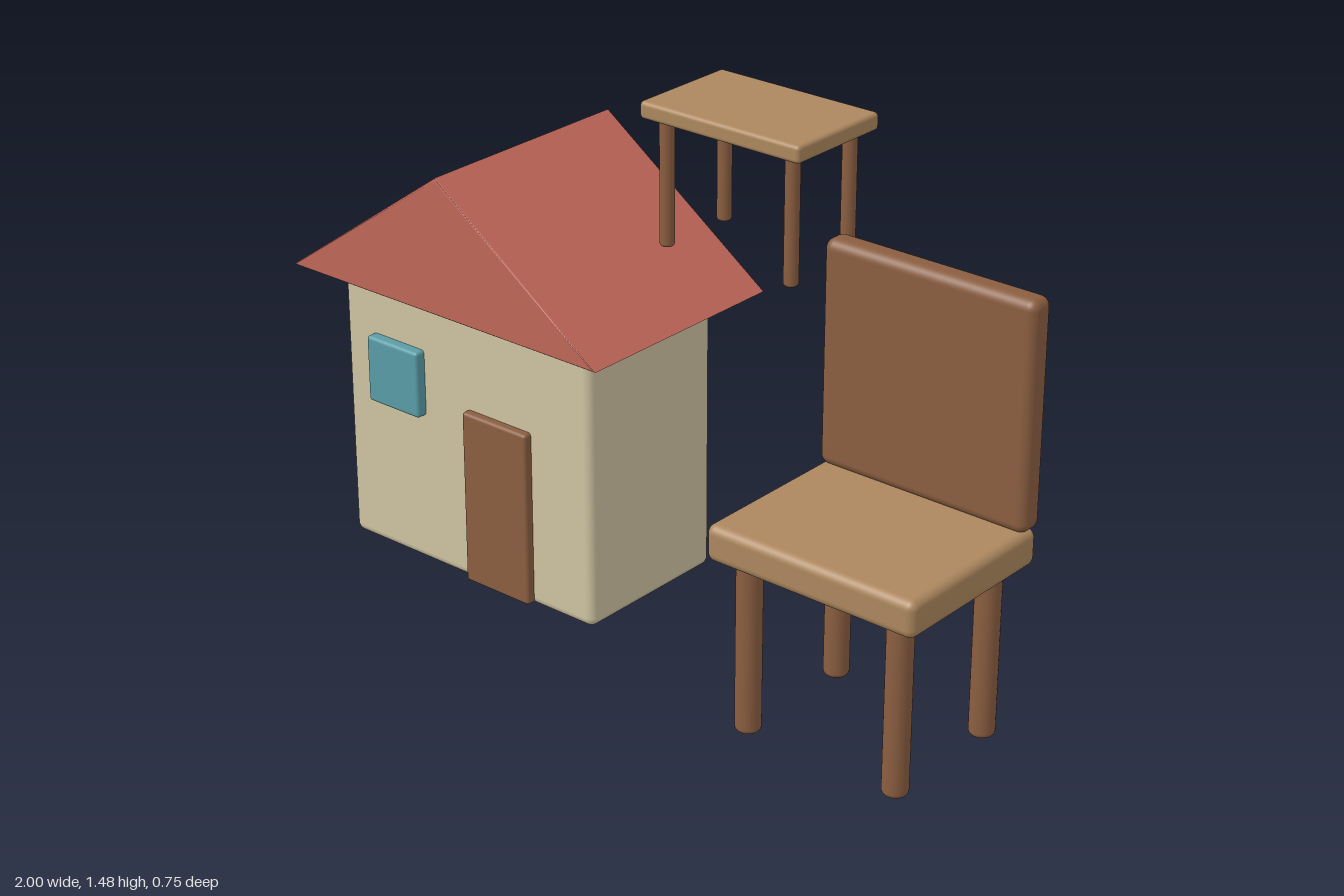
import * as THREE from 'three';
import { RoundedBoxGeometry } from 'three/addons/geometries/RoundedBoxGeometry.js';

const material = (name, color) => {
  const m = new THREE.MeshStandardMaterial({ color });
  m.name = name;
  return m;
};

export function createModel() {
  const wallCream = material('wallCream', 0xcec3a1);
  const roofRed = material('roofRed', 0xbf6659);
  const lightWood = material('lightWood', 0xac875e);
  const darkWood = material('darkWood', 0x8a5e40);
  const windowBlue = material('windowBlue', 0x5a9ca6);

  const group = (name) => {
    const g = new THREE.Group();
    g.name = name;
    return g;
  };
  const add = (parent, name, geometry, mat, x = 0, y = 0, z = 0) => {
    const mesh = new THREE.Mesh(geometry, mat);
    mesh.name = name;
    mesh.position.set(x, y, z);
    parent.add(mesh);
    return mesh;
  };

  // Rounded box given by its low and high corners
  const block = (parent, name, mat, [x0, y0, z0], [x1, y1, z1], r) =>
    add(parent, name, new RoundedBoxGeometry(x1 - x0, y1 - y0, z1 - z0, 4, r), mat,
      (x0 + x1) / 2, (y0 + y1) / 2, (z0 + z1) / 2);

  // Four round legs with softened ends
  const legs = (parent, xs, zs, y0, y1, r) => {
    const b = r * 0.45, h = y1 - y0, points = [new THREE.Vector2(0, 0)];
    for (let i = 0; i <= 4; i++) {
      const a = (i / 4) * Math.PI / 2;
      points.push(new THREE.Vector2(r - b + b * Math.sin(a), b - b * Math.cos(a)));
    }
    for (let i = 0; i <= 4; i++) {
      const a = (i / 4) * Math.PI / 2;
      points.push(new THREE.Vector2(r - b + b * Math.cos(a), h - b + b * Math.sin(a)));
    }
    points.push(new THREE.Vector2(0, h));
    const geometry = new THREE.LatheGeometry(points, 24);
    for (const x of xs) for (const z of zs) add(parent, 'leg', geometry, darkWood, x, y0, z);
  };

  // House: walls, door, window
  const house = group('house');
  block(house, 'walls', wallCream, [-0.905, 0.14, -0.195], [-0.03, 0.94, 0.286], 0.025);
  block(house, 'door', darkWood, [-0.46, 0.147, 0.27], [-0.235, 0.645, 0.31], 0.01);
  block(house, 'window', windowBlue, [-0.798, 0.578, 0.27], [-0.613, 0.768, 0.316], 0.01);

  // Gabled roof as an extruded triangle with a slight bevel
  const gable = new THREE.Shape();
  gable.moveTo(-1, 0.938);
  gable.lineTo(0.068, 0.938);
  gable.lineTo(-0.466, 1.316);
  gable.closePath();
  const bevel = 0.005;
  const roof = new THREE.ExtrudeGeometry(gable, {
    depth: 0.664 - 2 * bevel, bevelThickness: bevel, bevelSize: bevel,
    bevelOffset: -bevel, bevelSegments: 2,
  });
  add(house, 'roof', roof, roofRed, 0, 0, -0.289 + bevel);

  // Chair
  const chair = group('chair');
  block(chair, 'seat', lightWood, [0.36, 0.487, -0.215], [0.998, 0.59, 0.303], 0.025);
  block(chair, 'backrest', darkWood, [0.36, 0.585, -0.228], [0.998, 1.21, -0.15], 0.028);
  legs(chair, [0.446, 0.911], [0.229, -0.139], 0, 0.495, 0.035);

  // Small table
  const table = group('table');
  block(table, 'tableTop', lightWood, [-0.15, 1.432, -0.374], [0.362, 1.48, -0.046], 0.012);
  legs(table, [-0.097, 0.308], [-0.094, -0.325], 1.085, 1.437, 0.02);

  const model = group('houseAndFurniture');
  model.add(house, chair, table);
  return model;
}
